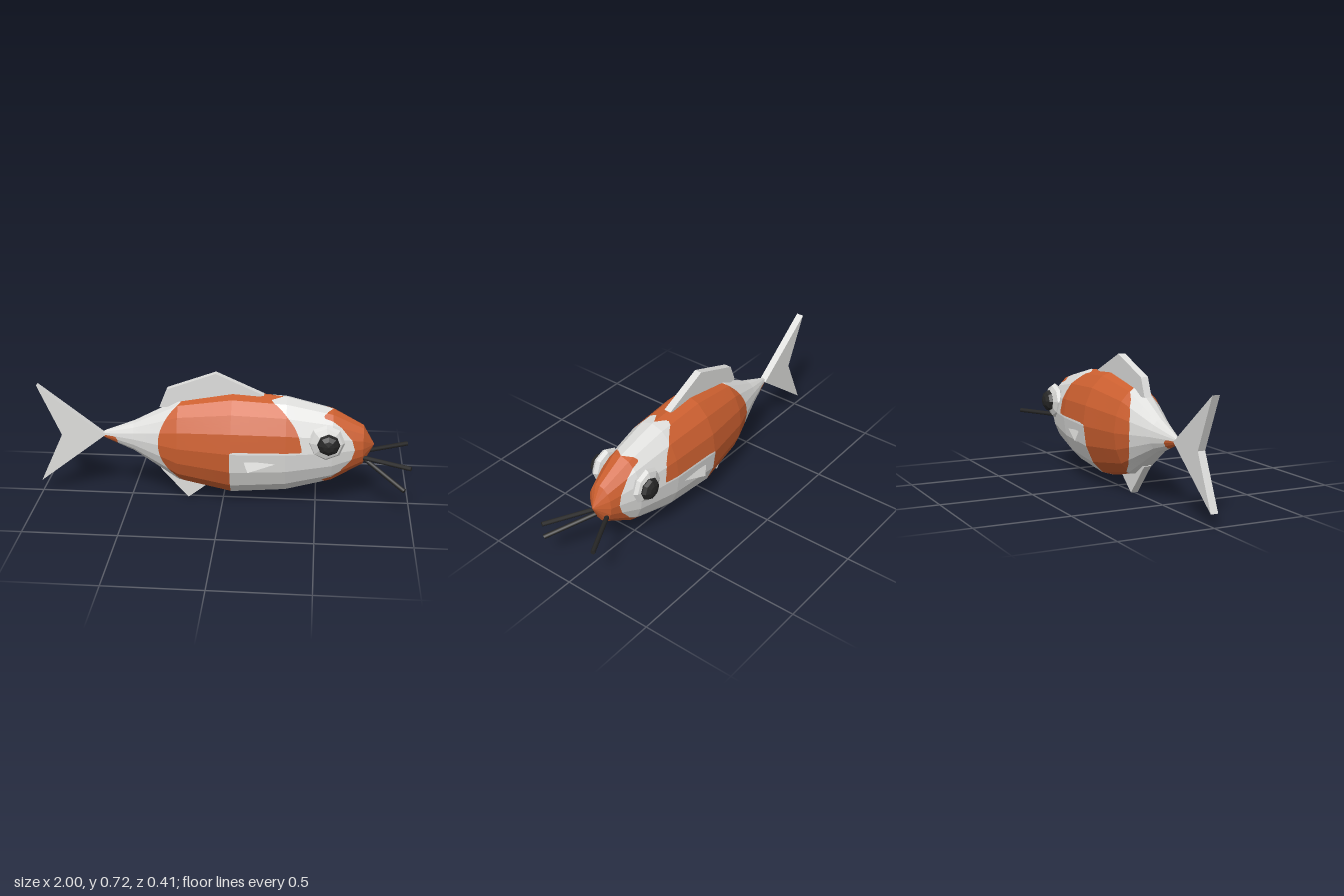
import * as THREE from 'three';

const material = (name, color) => Object.assign(new THREE.MeshStandardMaterial({ color }), { name });

// Body rings from tail to nose: x, centre height, half height, half width
const RINGS = [
  [-0.66, 0.352, 0, 0], [-0.643, 0.352, 0.02, 0.014], [-0.48, 0.35, 0.085, 0.063],
  [-0.237, 0.336, 0.229, 0.142], [0.05, 0.333, 0.284, 0.185], [0.337, 0.335, 0.263, 0.171],
  [0.58, 0.338, 0.201, 0.131], [0.743, 0.342, 0.109, 0.071], [0.803, 0.345, 0, 0],
];
const SIDES = 16, STEPS = 6;

// Positive inside the orange markings, negative on the pale skin
function marking({ x, y, z }) {
  const w = Math.abs(z);
  const flank = Math.min(1 - Math.hypot((x - 0.04) / 0.38, (y - 0.345) / 0.3), Math.max(0.045 - x, y - 0.345));
  const ridge = Math.min(0.07 - w, x + 0.22 - 1.5 * w, 0.32 - 1.7 * w - x, y - 0.5);
  const head = Math.min(0.087 - 0.4 * (y - 0.335) ** 2 - w, x - 0.58 + 0.7 * w);
  const tail = Math.min(-0.57 - x, 0.35 - y);
  return Math.max(flank, ridge, head, tail);
}

// Keeps the part of a polygon on one side of the marking's edge
function clip(polygon, sign) {
  const kept = [];
  polygon.forEach((a, i) => {
    const b = polygon[(i + 1) % polygon.length];
    const fa = sign * marking(a), fb = sign * marking(b);
    if (fa >= 0) kept.push(a);
    if ((fa >= 0) !== (fb >= 0)) kept.push(a.clone().lerp(b, fa / (fa - fb)));
  });
  return kept;
}

// Lofted faceted body, cut along the markings
function bodyGeometry(sign) {
  const positions = [];
  const ringPoint = (i, j) => {
    const [x, cy, ry, rz] = RINGS[i], a = (j / SIDES) * Math.PI * 2;
    return new THREE.Vector3(x, cy + ry * Math.cos(a), rz * Math.sin(a));
  };
  const addTriangle = (...corners) => {
    const p = clip(corners, sign);
    for (let k = 1; k + 1 < p.length; k++) {
      for (const v of [p[0], p[k], p[k + 1]]) positions.push(v.x, v.y, v.z);
    }
  };
  for (let i = 0; i < RINGS.length - 1; i++) {
    for (let j = 0; j < SIDES; j++) {
      const at = (u, v) => {
        const back = ringPoint(i, j).lerp(ringPoint(i, j + 1), v / STEPS);
        return back.lerp(ringPoint(i + 1, j).lerp(ringPoint(i + 1, j + 1), v / STEPS), u / STEPS);
      };
      for (let u = 0; u < STEPS; u++) {
        for (let v = 0; v < STEPS; v++) {
          const a = at(u, v), b = at(u, v + 1), c = at(u + 1, v + 1), d = at(u + 1, v);
          addTriangle(a, b, c);
          addTriangle(a, c, d);
        }
      }
    }
  }
  const geometry = new THREE.BufferGeometry();
  geometry.setAttribute('position', new THREE.Float32BufferAttribute(positions, 3));
  geometry.computeVertexNormals();
  return geometry;
}

// Flat plate centred on z = 0
function plate(points, depth) {
  const shape = new THREE.Shape(points.map(([x, y]) => new THREE.Vector2(x, y)));
  return new THREE.ExtrudeGeometry(shape, { depth, bevelEnabled: false }).translate(0, 0, -depth / 2);
}

// Flattened faceted ball with its poles along z
function facetedDisc(radius, halfDepth) {
  const geometry = new THREE.SphereGeometry(1, 8, 6).rotateX(Math.PI / 2).scale(radius, radius, halfDepth).toNonIndexed();
  geometry.computeVertexNormals();
  return geometry;
}

// Straight rod between two points
function rod(from, to, radius) {
  const path = new THREE.LineCurve3(new THREE.Vector3(...from), new THREE.Vector3(...to));
  const length = path.getLength();
  const geometry = new THREE.CylinderGeometry(radius, radius, length, 8);
  const turn = new THREE.Quaternion().setFromUnitVectors(new THREE.Vector3(0, 1, 0), path.getTangent(0));
  const middle = path.getPoint(0.5);
  return geometry.applyQuaternion(turn).translate(middle.x, middle.y, middle.z);
}

export function createModel() {
  const pale = material('paleSkin', 0xdededc);
  const orange = material('orangeSkin', 0xcd6030);
  const black = material('black', 0x262626);

  const model = new THREE.Group();
  model.name = 'fish';
  const add = (name, geometry, mat, position = [0, 0, 0]) => {
    const mesh = new THREE.Mesh(geometry, mat);
    mesh.name = name;
    mesh.position.set(...position);
    model.add(mesh);
    return mesh;
  };

  add('body', bodyGeometry(-1), pale);
  add('bodyMarkings', bodyGeometry(1), orange);

  // Fins on the centre line
  add('dorsalFin', plate([[-0.34, 0.525], [-0.28, 0.525], [0, 0.55], [0.215, 0.607], [-0.04, 0.72], [-0.3, 0.625]], 0.04), pale);
  add('ventralFin', plate([[-0.34, 0.17], [-0.19, 0.002], [-0.09, 0.08], [-0.2, 0.2]], 0.04), pale);
  add('tailFin', plate([[-1, 0.625], [-0.875, 0.345], [-1, 0.07], [-0.64, 0.35]], 0.04), pale);

  // Paired eyes, side fins and whiskers
  for (const [side, s] of [['left', 1], ['right', -1]]) {
    add(side + 'Eye', facetedDisc(0.098, 0.036), pale, [0.548, 0.4, s * 0.133]);
    add(side + 'Pupil', facetedDisc(0.06, 0.037), black, [0.56, 0.4, s * 0.165]);
    const fin = add(side + 'PectoralFin', plate([[0, 0], [0.02, -0.055], [0.225, 0.015]], 0.036), pale, [0.12, 0.285, s * 0.162]);
    fin.rotation.set(s * -0.27, s * 0.09, 0);
    add(side + 'Whisker', rod([0.73, 0.283, s * 0.035], [0.99, 0.283, s * 0.168], 0.012), black);
  }
  add('droopingWhisker', rod([0.74, 0.275, 0.015], [0.96, 0.167, 0.195], 0.012), black);

  return model;
}
